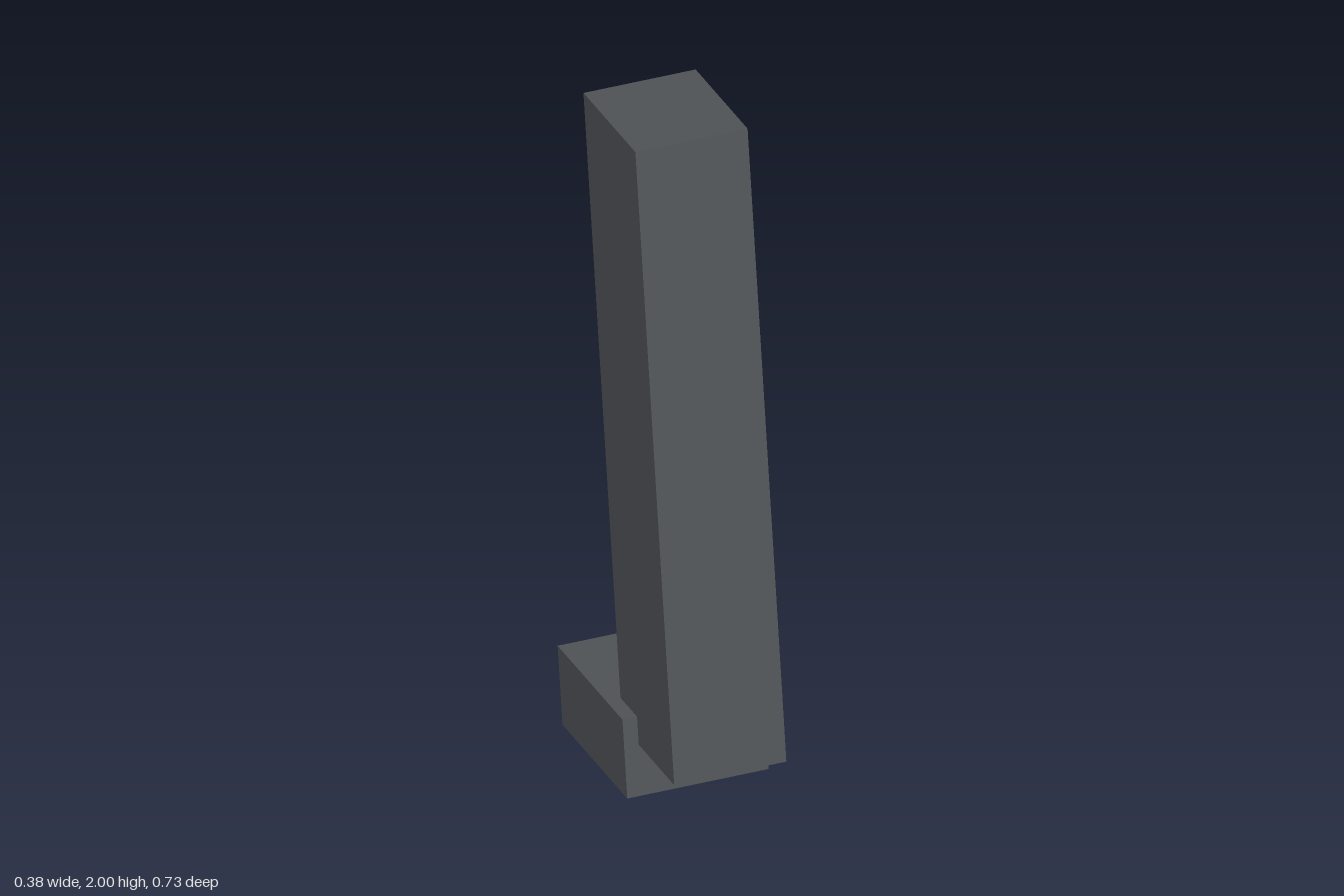
import * as THREE from 'three';

export function createModel() {
  const group = new THREE.Group();
  const darkGrey = new THREE.MeshStandardMaterial({ color: 0x505458 });
  darkGrey.name = 'darkGrey';
  const tilt = -0.159; // both blocks lean back by the same angle

  function block(name, size, y, z) {
    const mesh = new THREE.Mesh(new THREE.BoxGeometry(...size), darkGrey);
    mesh.name = name;
    mesh.position.set(0, y, z);
    mesh.rotation.x = tilt;
    group.add(mesh);
  }

  // Long leaning shaft
  block('shaft', [0.3, 1.765, 0.379], 1.0985, 0.04);
  // Wider block at the lower back
  block('baseBlock', [0.378, 0.22, 0.473], 0.1475, -0.117);

  return group;
}
